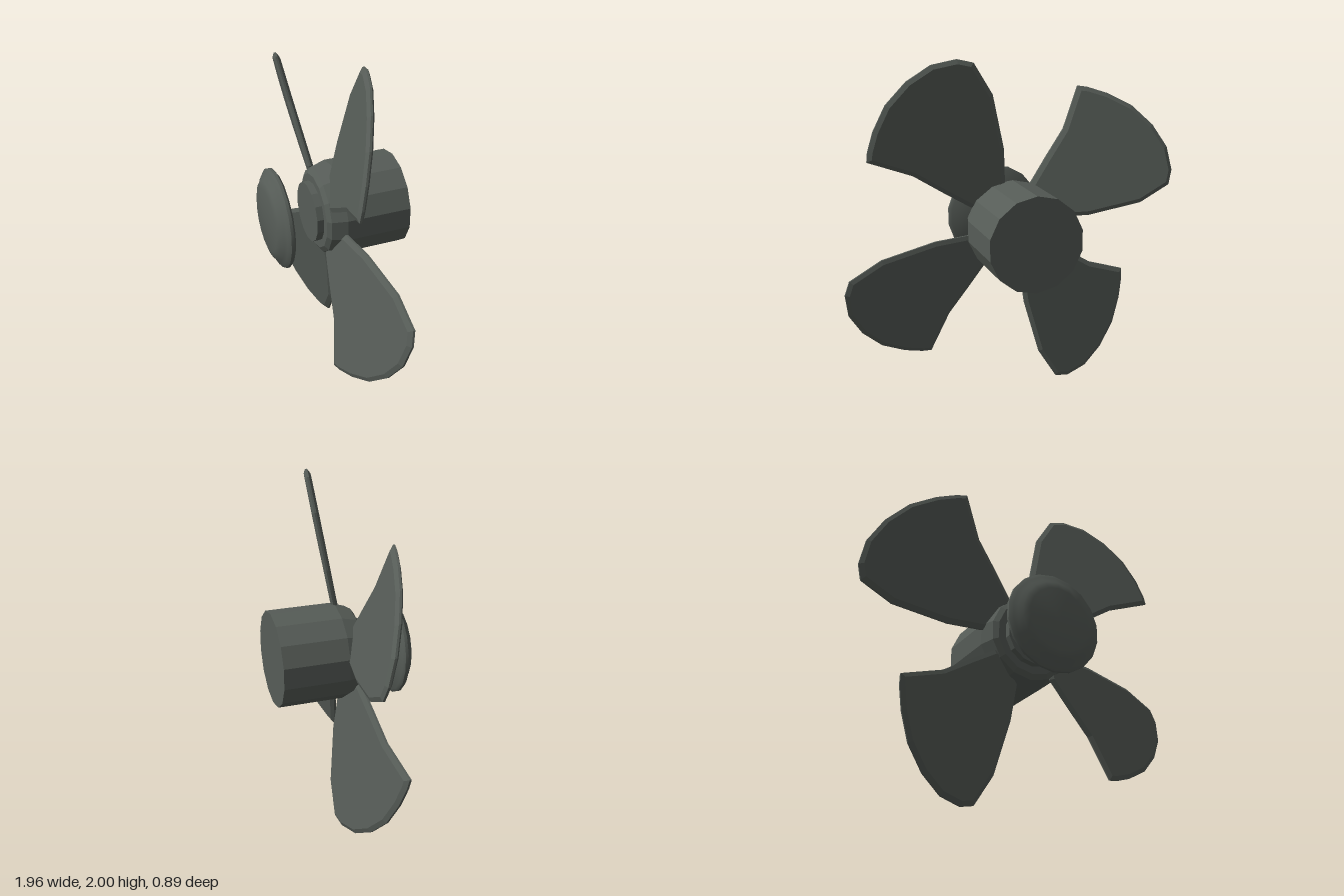
import * as THREE from 'three';
import { toCreasedNormals } from 'three/addons/utils/BufferGeometryUtils.js';

const metal = new THREE.MeshStandardMaterial({ color: 0x565c57 });
metal.name = 'dark grey metal';

// Solid of revolution around z from [radius, z] pairs, back to front
function turned(name, profile, sides, crease) {
  const geo = new THREE.LatheGeometry(profile.map(([r, z]) => new THREE.Vector2(r, z)), sides);
  geo.rotateX(Math.PI / 2);
  const mesh = new THREE.Mesh(toCreasedNormals(geo, crease), metal);
  mesh.name = name;
  return mesh;
}

// Flat bevelled blade, pitched by shearing along z
function bladeGeometry() {
  const outline = [
    [0.12, 0.12], [0.045, 0.26], [0.065, 0.48], [0.146, 0.8], [0.258, 0.98], [0.346, 1.0],
    [0.483, 0.97], [0.612, 0.88], [0.721, 0.75], [0.786, 0.6], [0.816, 0.48], [0.82, 0.42],
    [0.567, 0.33], [0.395, 0.22], [0.232, 0.12],
  ].map(([x, y]) => new THREE.Vector2(x, y));
  const geo = new THREE.ExtrudeGeometry(new THREE.Shape(outline), {
    depth: 0.012, bevelEnabled: true, bevelThickness: 0.014,
    bevelSize: 0.025, bevelOffset: -0.025, bevelSegments: 1,
  });
  const p = geo.attributes.position;
  for (let i = 0; i < p.count; i++) {
    p.setZ(i, p.getZ(i) + 0.044 + 0.23 * p.getX(i) - 0.193 * p.getY(i));
  }
  return toCreasedNormals(geo, 0.1);
}

export function createModel() {
  const model = new THREE.Group();
  model.name = 'propeller';

  // Whole fan turned slightly sideways
  const fan = new THREE.Group();
  fan.name = 'fan';
  fan.position.set(-0.02, 1, 0);
  fan.rotation.y = -0.29;
  model.add(fan);

  // Barrel with tapered shoulder and small front boss
  fan.add(turned('hub', [
    [0, -0.386], [0.283, -0.386], [0.283, 0], [0.255, 0.09], [0.225, 0.11],
    [0.18, 0.11], [0.18, 0.15], [0, 0.15],
  ], 14, 0.2));

  // Detached rounded nose cap
  fan.add(turned('noseCap', [
    [0, 0.315], [0.28, 0.315], [0.297, 0.328], [0.297, 0.345], [0.275, 0.362],
    [0.25, 0.372], [0.23, 0.39], [0.19, 0.402], [0, 0.405],
  ], 18, 0.9));

  // Two opposite pairs of blades
  const geo = bladeGeometry();
  [0, 94, 180, 274].forEach((deg, i) => {
    const blade = new THREE.Mesh(geo, metal);
    blade.name = 'blade' + (i + 1);
    blade.rotation.z = THREE.MathUtils.degToRad(deg);
    fan.add(blade);
  });

  return model;
}
